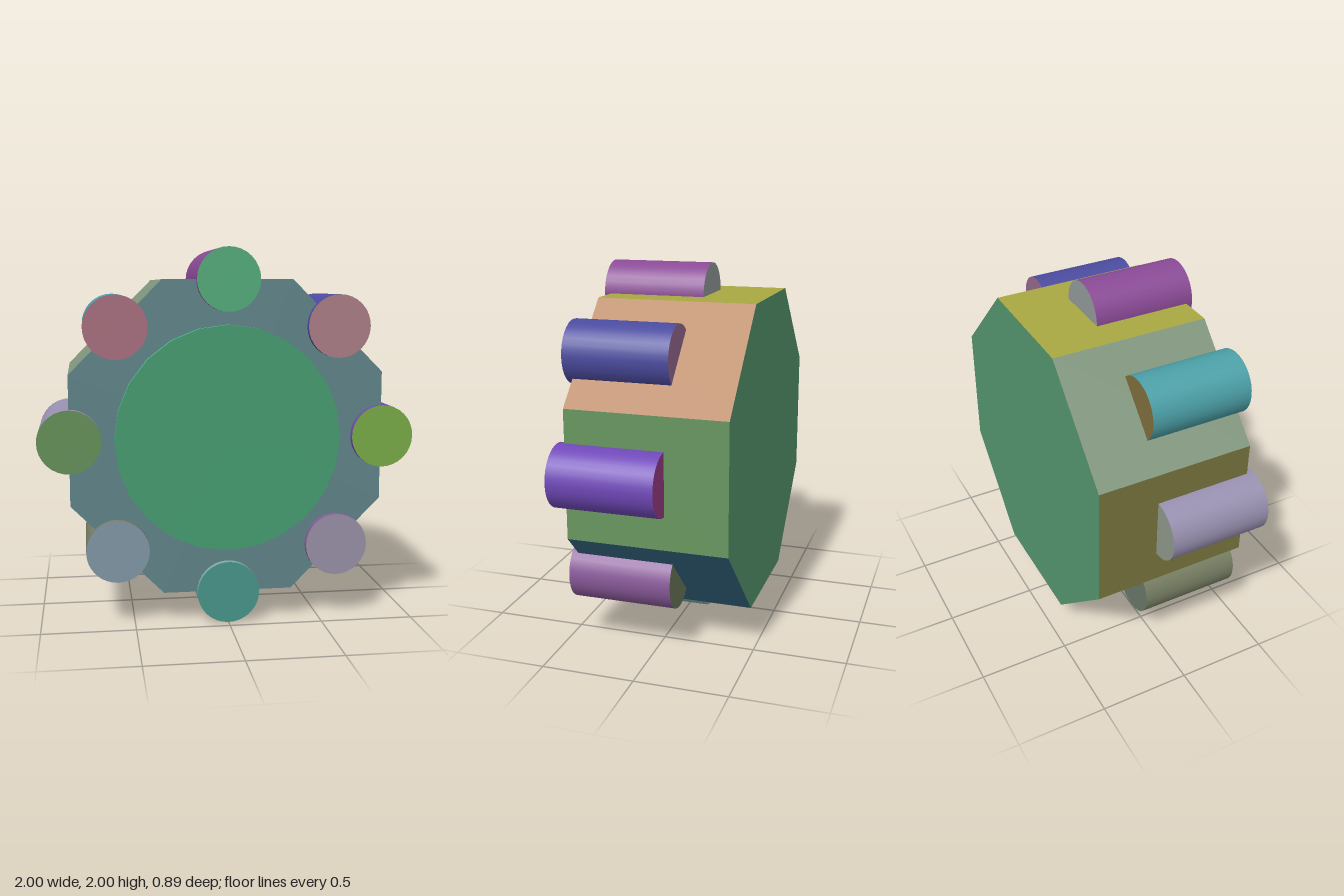
import * as THREE from 'three';

// Radial order: lower right, right, upper right, top, upper left, left, lower left, bottom
const FACES = [0x356580, 0x68965f, 0xb5835a, 0xa9a843, 0x80967e, 0x7a753e, 0x5c4a58, 0x5a3a50];
const PEG_SIDES = [0x8a5a9a, 0x7048b8, 0x4b4b9f, 0x8a4a96, 0x4ca0a8, 0x9890b0, 0x788064, 0x78aaa8];
const PEG_FRONTS = [0x988ea6, 0x78aa46, 0xab7c85, 0x50aa78, 0xa66c7c, 0x649058, 0x8297a6, 0x489488];
const PEG_BACKS = [0x687858, 0x963c82, 0x966a90, 0x949a9a, 0x806e3c, 0x90988c, 0x687868, 0x98989a];

const APOTHEM = 0.833;
const FRONT = 0.445;

const paint = (color, flatShading = false) => new THREE.MeshStandardMaterial({ color, flatShading });

// Cylinder along z between two depths; its top cap faces the front
function zCylinder(radius, back, front, segments, thetaStart = 0) {
  return new THREE.CylinderGeometry(radius, radius, front - back, segments, 1, false, thetaStart)
    .rotateX(Math.PI / 2)
    .translate(0, 0, (front + back) / 2);
}

function add(parent, name, geometry, materials) {
  const mesh = new THREE.Mesh(geometry, materials);
  mesh.name = name;
  parent.add(mesh);
  return mesh;
}

export function createModel() {
  const model = new THREE.Group();
  model.name = 'octagonalBodyWithPegs';

  // Octagonal body, one colour for each side and end
  const body = zCylinder(APOTHEM / Math.cos(Math.PI / 8), -FRONT, 0.41, 8, Math.PI / 8);
  body.clearGroups();
  for (let i = 0; i < 8; i++) body.addGroup(i * 6, 6, i);
  body.addGroup(48, 24, 8);
  body.addGroup(72, 24, 9);
  const bodyColors = [...FACES, 0x5f8388, 0x55966e];
  add(model, 'body', body, bodyColors.map((c) => paint(c, true))).position.y = 1;

  // Shallow round plate on the front
  add(model, 'frontPlate', zCylinder(0.6, 0.39, FRONT, 24),
    [paint(0x50c090), paint(0x459b70), paint(0x459b70)]).position.y = 1;

  // Pegs half sunk into the middle of every side
  const pegs = new THREE.Group();
  pegs.name = 'pegs';
  model.add(pegs);
  const pegShape = zCylinder(0.167, -0.115, FRONT, 32);
  for (let i = 0; i < 8; i++) {
    const a = (i + 1) * Math.PI / 4;
    const peg = add(pegs, 'peg' + (i + 1), pegShape,
      [paint(PEG_SIDES[i]), paint(PEG_FRONTS[i]), paint(PEG_BACKS[i])]);
    peg.position.set(APOTHEM * Math.sin(a), 1 - APOTHEM * Math.cos(a), 0);
  }

  return model;
}
